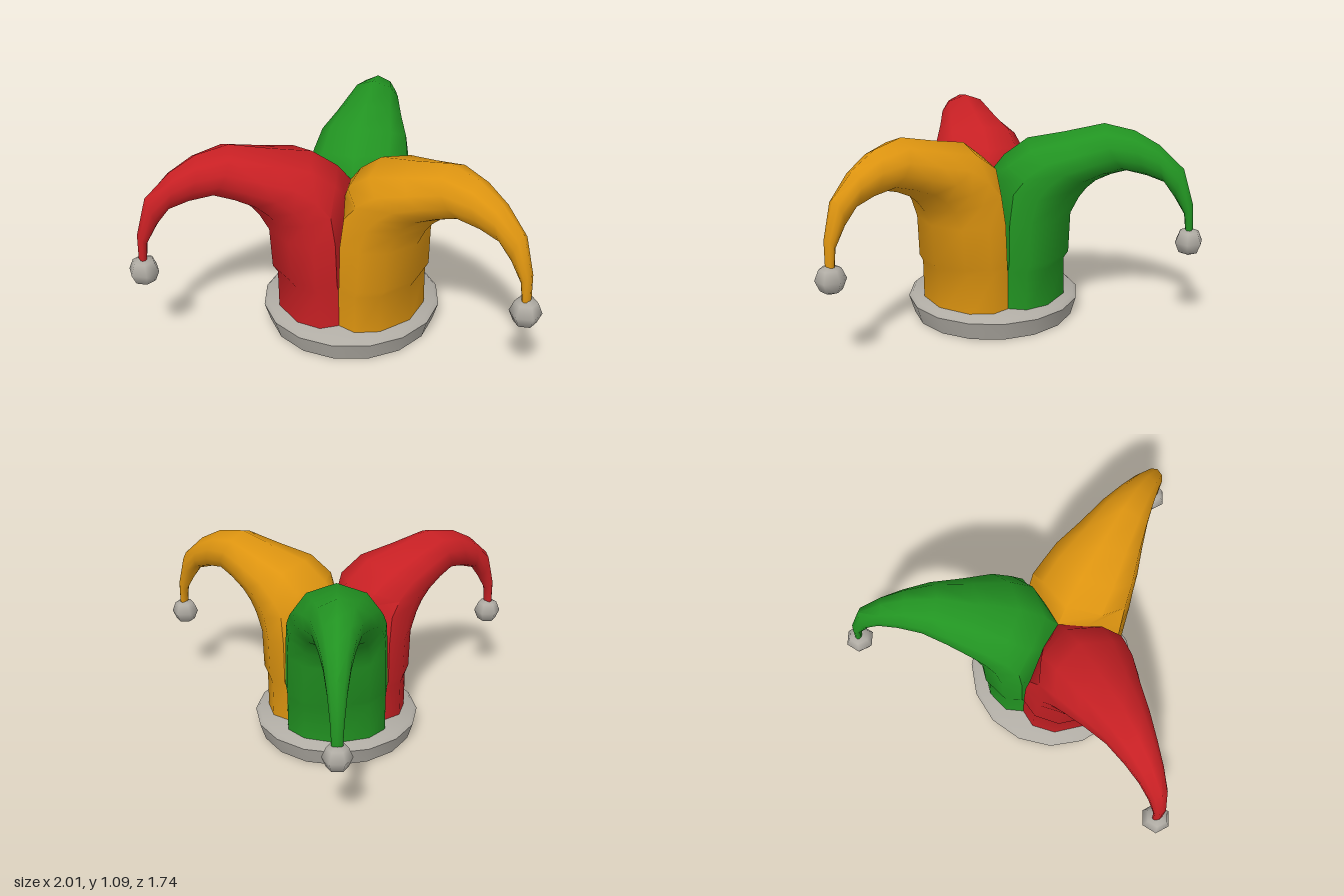
import * as THREE from 'three';
import { toCreasedNormals } from 'three/addons/utils/BufferGeometryUtils.js';

const mat = (name, color, extra) => Object.assign(new THREE.MeshStandardMaterial({ color }), { name });

// Horn stations: [inner/top radius, y, outer/under radius, y, half width]
const STATIONS = [
  [0, 0.08, 0.4, 0.08, 0.285],
  [0, 0.33, 0.4, 0.33, 0.285],
  [0, 0.37, 0.425, 0.37, 0.285],
  [0, 0.6, 0.435, 0.59, 0.28],
  [0, 0.8, 0.48, 0.68, 0.27],
  [0.07, 0.89, 0.52, 0.735, 0.25],
  [0.2, 0.99, 0.57, 0.78, 0.225],
  [0.4, 1.035, 0.65, 0.82, 0.175],
  [0.61, 1.09, 0.73, 0.845, 0.13],
  [0.77, 1.06, 0.84, 0.825, 0.095],
  [0.9, 0.99, 0.93, 0.795, 0.07],
  [1.03, 0.87, 0.985, 0.72, 0.05],
  [1.085, 0.68, 1.04, 0.63, 0.034],
  [1.09, 0.54, 1.05, 0.54, 0.028],
];
// Half section: [fraction from top to underside, fraction of half width]
const SECTION = [[0, 0], [0.15, 0.71], [0.4, 1], [0.65, 0.95], [0.88, 0.63], [1, 0]];
const RING = [
  ...SECTION.map(([t, f]) => [t, f, 1]),
  ...SECTION.slice(1, -1).reverse().map(([t, f]) => [t, f, -1]),
];

// Curved horn pointing along +z, kept inside its 120 degree sector
function hornGeometry() {
  const pos = [], index = [], n = RING.length;
  for (const [r0, y0, r1, y1, h] of STATIONS) {
    for (const [t, f, side] of RING) {
      const r = r0 + (r1 - r0) * t;
      pos.push(side * Math.min(h * f, r * Math.sqrt(3)), y0 + (y1 - y0) * t, r);
    }
  }
  for (let k = 0; k < STATIONS.length - 1; k++) {
    for (let i = 0; i < n; i++) {
      const a = k * n + i, b = k * n + (i + 1) % n;
      index.push(a, a + n, b, b, a + n, b + n);
    }
  }
  // tip cap
  const last = (STATIONS.length - 1) * n;
  for (let i = 1; i < n - 1; i++) index.push(last, last + i, last + i + 1);
  const g = new THREE.BufferGeometry();
  g.setAttribute('position', new THREE.Float32BufferAttribute(pos, 3));
  g.setIndex(index);
  return toCreasedNormals(g, 0.95);
}

export function createModel() {
  const model = new THREE.Group();
  model.name = 'jesterHat';
  const hat = new THREE.Group();
  hat.name = 'hat';
  hat.position.z = 0.27;
  model.add(hat);

  const grey = mat('grey', 0xb0aca4);
  const add = (parent, name, geometry, material) => {
    const mesh = new THREE.Mesh(geometry, material);
    mesh.name = name;
    parent.add(mesh);
    return mesh;
  };

  // Brim band with a closed underside
  const profile = [[0, 0], [0.44, 0], [0.47, 0.1], [0.45, 0.12], [0, 0.12]]
    .map(([x, y]) => new THREE.Vector2(x, y));
  add(hat, 'brim', toCreasedNormals(new THREE.LatheGeometry(profile, 16), 0.9), grey);

  // Three horns, each with a bell at its tip
  const horn = hornGeometry();
  const bell = new THREE.SphereGeometry(0.077, 6, 4);
  const horns = [
    ['left', mat('orange', 0xdd9410), Math.PI / 3],
    ['right', mat('red', 0xc82024), -Math.PI / 3],
    ['back', mat('green', 0x229422), Math.PI],
  ];
  for (const [side, material, angle] of horns) {
    const arm = new THREE.Group();
    arm.name = side + 'Arm';
    arm.rotation.y = angle;
    hat.add(arm);
    add(arm, side + 'Horn', horn, material);
    add(arm, side + 'Bell', bell, grey).position.set(0, 0.48, 1.07);
  }
  return model;
}
